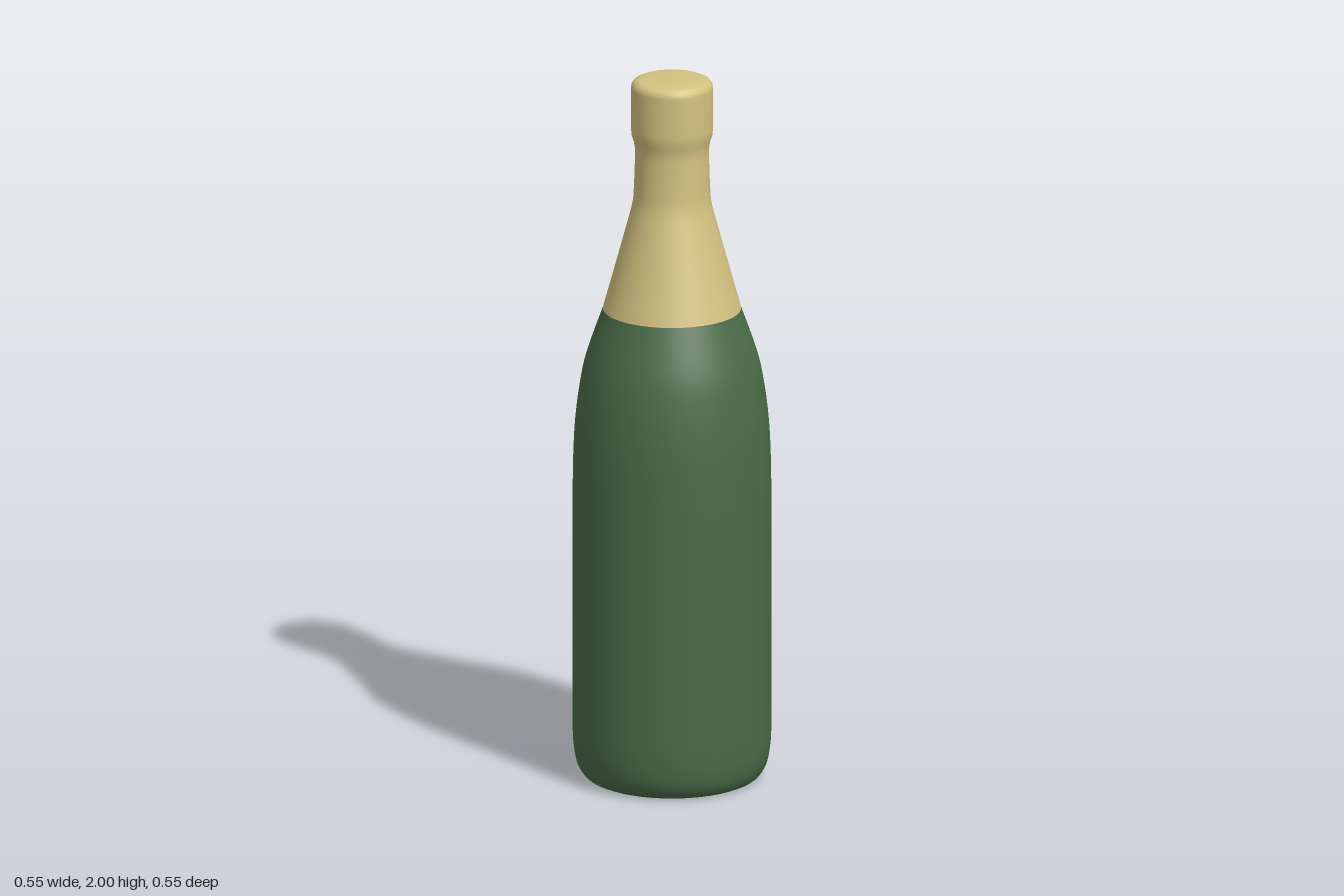
import * as THREE from 'three';

const SEGMENTS = 64;

// Revolve a profile of [radius, height] pairs, listed bottom to top
function turned(name, profile, color) {
  const points = profile.map(([r, y]) => new THREE.Vector2(r, y));
  const mesh = new THREE.Mesh(
    new THREE.LatheGeometry(points, SEGMENTS),
    new THREE.MeshStandardMaterial({ color, side: THREE.DoubleSide })
  );
  mesh.name = name;
  return mesh;
}

// Smooth run of profile pairs through a few control pairs
function smooth(pairs, steps) {
  const curve = new THREE.SplineCurve(pairs.map(([r, y]) => new THREE.Vector2(r, y)));
  return curve.getPoints(steps).map((p) => [p.x, p.y]);
}

export function createModel() {
  const bottle = new THREE.Group();
  bottle.name = 'bottle';

  // Glass: hollow punt under the base, rounded heel, straight wall, shoulder
  const punt = smooth([[0, 0.16], [0.07, 0.15], [0.14, 0.105], [0.19, 0.045], [0.213, 0.008]], 14);
  const heel = smooth([[0.222, 0], [0.243, 0.012], [0.262, 0.045], [0.271, 0.1], [0.273, 0.16]], 12);
  const shoulder = smooth([[0.273, 0.8], [0.271, 0.92], [0.266, 1.02], [0.254, 1.12], [0.235, 1.21], [0.19, 1.34]], 20);
  bottle.add(turned('glassBody', [...punt, ...heel, ...shoulder], 0x4a6b48));

  // Foil: tapering sleeve, narrow neck, wider cap with a softly domed top
  const sleeve = [[0.19, 1.34], [0.15, 1.485], [0.115, 1.615]];
  const neck = smooth([[0.107, 1.65], [0.104, 1.7], [0.102, 1.76], [0.102, 1.8]], 6);
  const cap = [[0.105, 1.82], [0.111, 1.838], [0.113, 1.86], [0.113, 1.97],
    [0.111, 1.982], [0.104, 1.991], [0.092, 1.996], [0.06, 1.999], [0, 2]];
  bottle.add(turned('foilSleeve', [...sleeve, ...neck, ...cap], 0xd4c180));

  return bottle;
}
